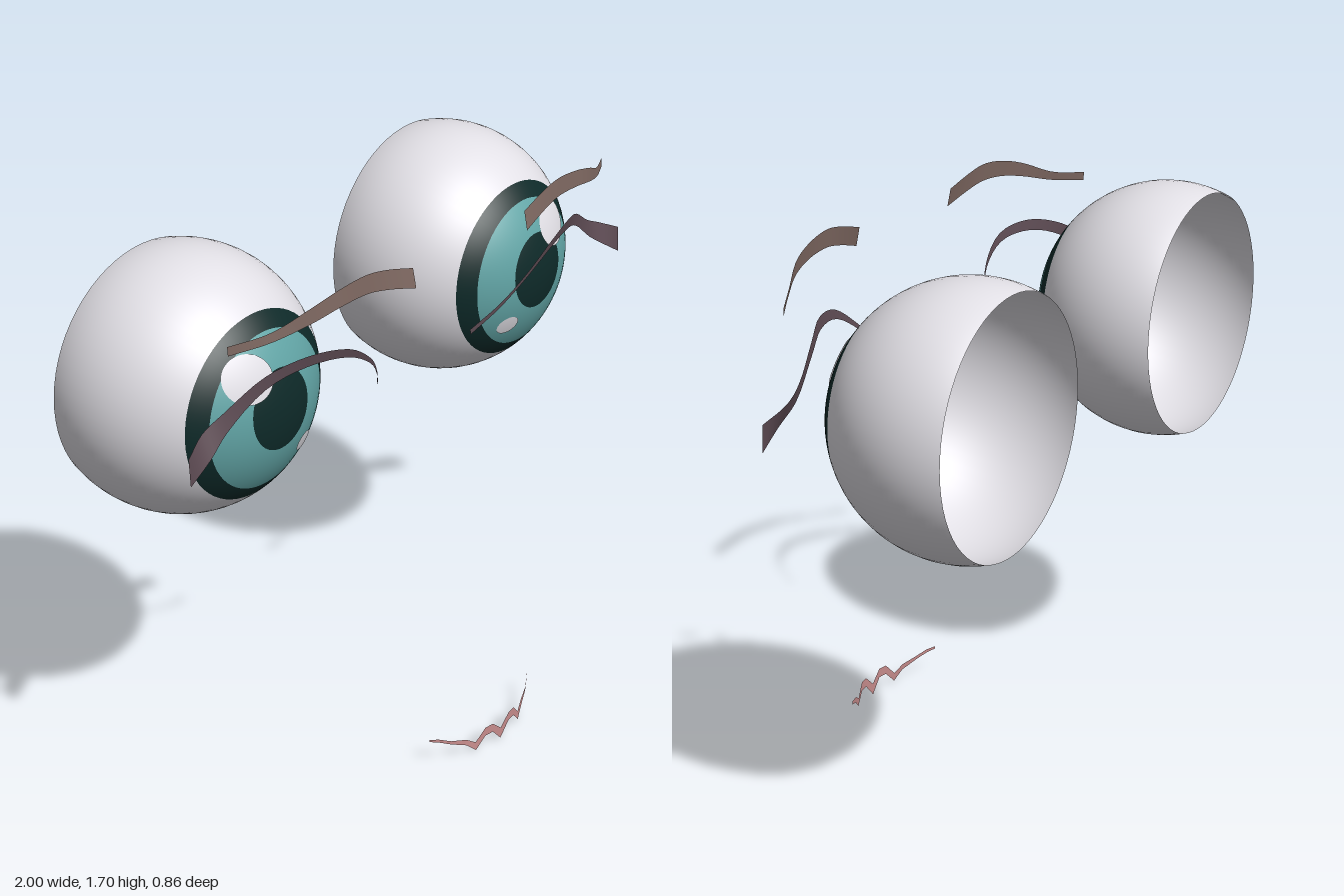
import * as THREE from 'three';

const R = 0.4; // eyeball radius

const mat = (name, color) => {
  const m = new THREE.MeshStandardMaterial({ color, side: THREE.DoubleSide });
  m.name = name;
  return m;
};

// Grid surface from fn(u, v) -> Vector3
function surface(nu, nv, fn) {
  const pos = [], idx = [];
  for (let j = 0; j <= nv; j++)
    for (let i = 0; i <= nu; i++) pos.push(...fn(i / nu, j / nv).toArray());
  for (let j = 0; j < nv; j++)
    for (let i = 0; i < nu; i++) {
      const a = j * (nu + 1) + i, b = a + 1, c = a + nu + 1, d = c + 1;
      idx.push(a, c, b, b, c, d);
    }
  const g = new THREE.BufferGeometry();
  g.setAttribute('position', new THREE.Float32BufferAttribute(pos, 3));
  g.setIndex(idx);
  g.computeVertexNormals();
  return g;
}

// Part of a sphere between two ellipses [cx, cy, rx, ry] seen from the front
function spherePatch(inner, outer, radius = R) {
  const g = surface(64, 6, (u, v) => {
    const a = u * Math.PI * 2;
    const e = inner.map((k, i) => THREE.MathUtils.lerp(k, outer[i], v));
    const x = e[0] + e[2] * Math.cos(a), y = e[1] + e[3] * Math.sin(a);
    return new THREE.Vector3(x, y, Math.sqrt(R * R - x * x - y * y)).setLength(radius);
  });
  const p = g.attributes.position, n = g.attributes.normal;
  for (let i = 0; i < p.count; i++) n.setXYZ(i, p.getX(i) / radius, p.getY(i) / radius, p.getZ(i) / radius);
  return g;
}

// Flat strip through rows of [x, yTop, yBottom, zTop, zBottom]
function ribbon(rows, side, smooth = true) {
  const edge = (y, z) => {
    const pts = rows.map(r => new THREE.Vector3(r[0] * side, r[y], r[z]));
    if (smooth) {
      const c = new THREE.CatmullRomCurve3(pts);
      return t => c.getPoint(t);
    }
    return t => pts[Math.round(t * (pts.length - 1))];
  };
  const top = edge(1, 3), bottom = edge(2, 4);
  return surface(smooth ? 32 : rows.length - 1, 1, (u, v) => top(u).clone().lerp(bottom(u), v));
}

const LASH = [
  [0.22, 1.245, 1.23, 0.115, 0.118],
  [0.29, 1.325, 1.312, 0.175, 0.175],
  [0.365, 1.408, 1.392, 0.215, 0.213],
  [0.47, 1.48, 1.453, 0.225, 0.22],
  [0.6, 1.498, 1.464, 0.193, 0.188],
  [0.72, 1.465, 1.425, 0.14, 0.14],
  [0.845, 1.39, 1.335, 0.098, 0.11],
  [0.92, 1.355, 1.285, 0.088, 0.117],
  [1.0, 1.318, 1.235, 0.112, 0.116],
];
const BROW = [
  [0.257, 1.665, 1.607, 0.278, 0.29],
  [0.36, 1.693, 1.636, 0.27, 0.278],
  [0.44, 1.705, 1.65, 0.265, 0.27],
  [0.54, 1.695, 1.645, 0.255, 0.26],
  [0.64, 1.668, 1.625, 0.236, 0.24],
  [0.75, 1.622, 1.595, 0.188, 0.192],
  [0.857, 1.605, 1.578, 0.132, 0.134],
];
const MOUTH = [
  [0, 0.043, 0.005, 0.43, 0.43],
  [0.04, 0.08, 0.05, 0.43, 0.43],
  [0.072, 0.08, 0.05, 0.425, 0.425],
  [0.108, 0.04, 0.012, 0.415, 0.417],
  [0.14, 0.062, 0.042, 0.403, 0.405],
  [0.19, 0.075, 0.063, 0.383, 0.383],
  [0.225, 0.091, 0.08, 0.362, 0.362],
  [0.25, 0.096, 0.088, 0.345, 0.345],
];

export function createModel() {
  const root = new THREE.Group();
  root.name = 'face';
  const white = mat('eyeWhite', 0xe2e0e6), teal = mat('irisTeal', 0x62a5a6);
  const dark = mat('pupilDark', 0x0e2a29), lashMat = mat('lashPlum', 0x5c4a52);
  const browMat = mat('browBrown', 0x7d6760), lipMat = mat('lipPink', 0xc68b8b);
  const add = (parent, name, geo, material) => {
    const m = new THREE.Mesh(geo, material);
    m.name = name;
    parent.add(m);
  };

  for (const s of [1, -1]) {
    const label = s > 0 ? 'left' : 'right';
    const eye = new THREE.Group();
    eye.name = label + 'Eye';
    eye.position.set(0.6 * s, 1.28, -0.3);
    root.add(eye);

    // Open-backed eyeball with the iris disc fitted into its front
    const rim = 0.282, start = Math.asin(rim / R), end = Math.acos(-0.13 / R);
    const ball = new THREE.SphereGeometry(R, 64, 28, 0, Math.PI * 2, start, end - start).rotateX(Math.PI / 2);
    add(eye, 'eyeball', ball, white);
    const ring = [0, 0, rim, rim], iris = [0, 0, 0.231, 0.238], pupil = [0, 0.02, 0.113, 0.122];
    add(eye, 'irisRing', spherePatch(iris, ring), dark);
    add(eye, 'iris', spherePatch(pupil, iris), teal);
    add(eye, 'pupil', spherePatch([0, 0.02, 0, 0], pupil), dark);

    // Highlights, on both faces of the shell
    for (const [x, y, rx, ry] of [[0.1, 0.14, 0.077, 0.067], [-0.115, -0.135, 0.037, 0.03]])
      for (const r of [R + 0.003, R - 0.003])
        add(eye, 'highlight', spherePatch([x * s, y, 0, 0], [x * s, y, rx, ry], r), white);

    add(root, label + 'Lash', ribbon(LASH, s), lashMat);
    add(root, label + 'Brow', ribbon(BROW, s), browMat);
    add(root, label + 'Lip', ribbon(MOUTH, s, false), lipMat);
  }
  return root;
}
